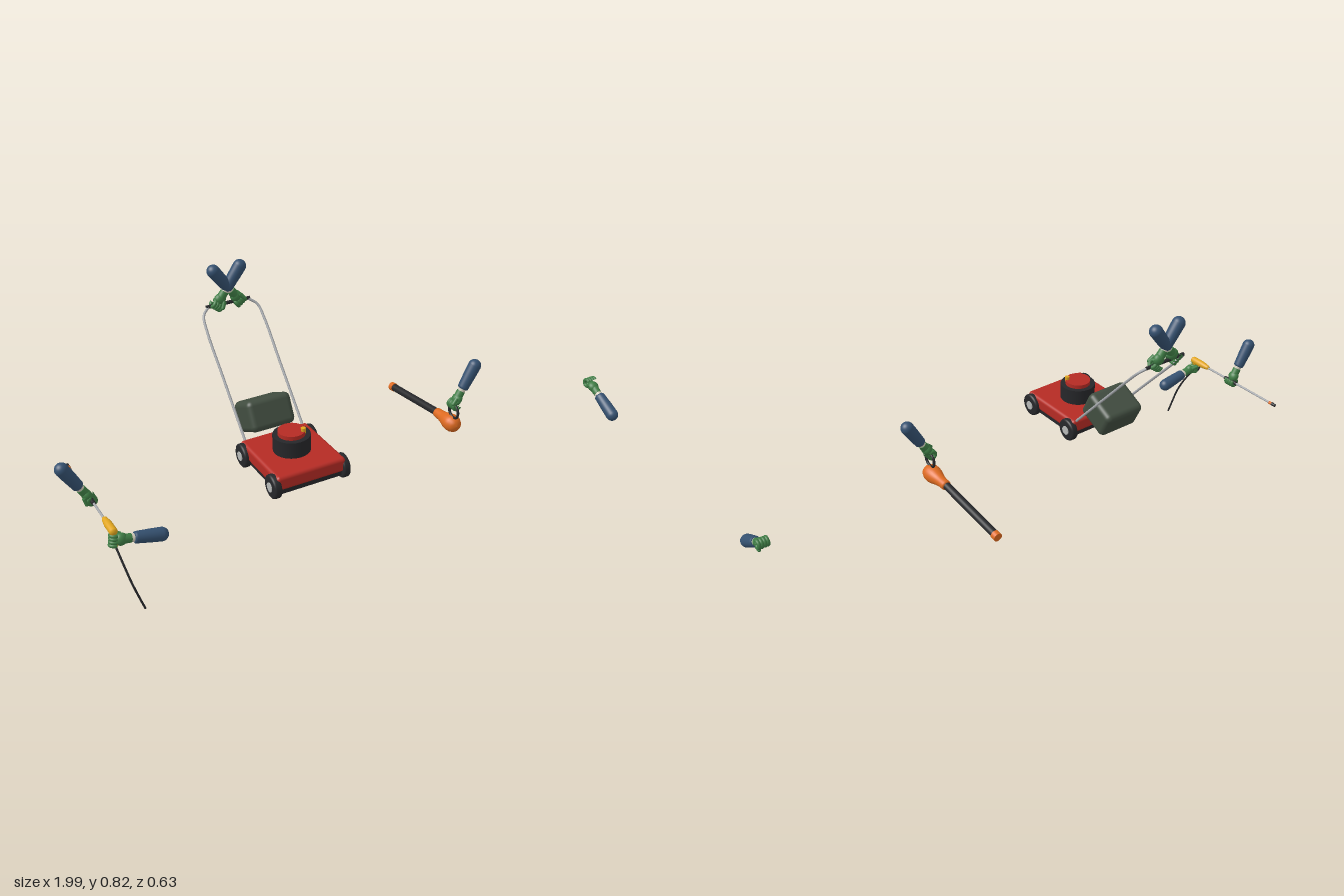
import * as THREE from 'three';
import { RoundedBoxGeometry } from 'three/addons/geometries/RoundedBoxGeometry.js';

const V = (x, y, z) => new THREE.Vector3(x, y, z);
const mat = (color) => new THREE.MeshStandardMaterial({ color });
const RED = mat(0xb52b24), BLACK = mat(0x26272a), STEEL = mat(0xa4a7ab), HUB = mat(0xb8bab8);
const BAG = mat(0x414d40), GLOVE = mat(0x3f7d45), SLEEVE = mat(0x34506f), CUFF = mat(0xcfc9b8);
const ORANGE = mat(0xdd6a20), YELLOW = mat(0xe0a51f);
const UP = V(0, 1, 0);

function add(parent, name, geometry, material, pos = V(0, 0, 0)) {
  const m = new THREE.Mesh(geometry, material);
  m.name = name;
  m.position.copy(pos);
  parent.add(m);
  return m;
}

// Round bar from a to b
function rod(parent, name, a, b, r1, material, r2 = r1) {
  const d = b.clone().sub(a);
  const m = add(parent, name, new THREE.CylinderGeometry(r2, r1, d.length(), 24), material,
    a.clone().add(b).multiplyScalar(0.5));
  m.quaternion.setFromUnitVectors(UP, d.normalize());
  return m;
}

// Revolved shape, profile of [radius, distance] running from a towards b
function turned(parent, name, profile, a, b, material) {
  const pts = profile.map(([r, y]) => new THREE.Vector2(r, y));
  const m = add(parent, name, new THREE.LatheGeometry(pts, 32), material, a);
  m.quaternion.setFromUnitVectors(UP, b.clone().sub(a).normalize());
  return m;
}

function tube(parent, name, pts, r, material) {
  return add(parent, name, new THREE.TubeGeometry(new THREE.CatmullRomCurve3(pts), 48, r, 12), material);
}

// Gloved fist closed round a bar, with the sleeve running towards a point
function arm(parent, name, grip, toward, barDir) {
  const g = new THREE.Group();
  g.name = name;
  const y = toward.clone().sub(grip).normalize();
  const z = barDir.clone().cross(y).normalize();
  g.quaternion.setFromRotationMatrix(new THREE.Matrix4().makeBasis(y.clone().cross(z), y, z));
  g.position.copy(grip);
  parent.add(g);
  for (let i = 0; i < 4; i++) {
    const finger = new THREE.TorusGeometry(0.0125, 0.0065, 12, 28, 5.2);
    finger.rotateY(Math.PI / 2);
    finger.rotateX(1.3);
    add(g, 'finger', finger, GLOVE, V((i - 1.5) * 0.0102, 0, 0));
  }
  const palm = add(g, 'palm', new THREE.SphereGeometry(1, 24, 16), GLOVE, V(0, 0.021, 0));
  palm.scale.set(0.0205, 0.021, 0.0165);
  rod(g, 'thumb', V(0.012, 0.024, 0.012), V(0.016, 0.002, 0.019), 0.0075, GLOVE, 0.006);
  add(g, 'thumbTip', new THREE.SphereGeometry(0.0062, 12, 10), GLOVE, V(0.016, 0.002, 0.019));
  rod(g, 'gloveWrist', V(0, 0.03, 0), V(0, 0.053, 0), 0.0155, GLOVE, 0.0145);
  rod(g, 'cuff', V(0, 0.05, 0), V(0, 0.066, 0), 0.0125, CUFF, 0.014);
  const profile = [[0, 0], [0.015, 0], [0.0182, 0.003], [0.019, 0.008], [0.0215, 0.055]];
  for (let i = 0; i <= 10; i++) {
    const a = i / 10 * Math.PI / 2;
    profile.push([0.0225 * Math.cos(a), 0.09 + 0.0225 * Math.sin(a)]);
  }
  turned(g, 'sleeve', profile, V(0, 0.062, 0), V(0, 1, 0), SLEEVE);
}

function lawnMower() {
  const g = new THREE.Group();
  g.name = 'lawnMower';
  g.position.x = -0.276;

  // Deck with dark underside
  add(g, 'deck', new RoundedBoxGeometry(0.246, 0.05, 0.268, 4, 0.012), RED, V(0, 0.312, 0.154));
  add(g, 'underside', new THREE.BoxGeometry(0.228, 0.02, 0.25), BLACK, V(0, 0.281, 0.154));

  // Engine, starter cap and fuel cap
  const engine = V(0, 0.335, 0.151);
  rod(g, 'engine', engine, V(0, 0.393, 0.151), 0.062, BLACK);
  rod(g, 'starterCap', V(0, 0.39, 0.151), V(0, 0.407, 0.151), 0.045, RED);
  rod(g, 'fuelCap', V(0.03, 0.4, 0.175), V(0.03, 0.418, 0.175), 0.008, YELLOW);

  // Wheels and hubs
  const tyre = [[0, 0], [0.034, 0], [0.039, 0.003], [0.0405, 0.007], [0.0405, 0.019],
    [0.039, 0.023], [0.034, 0.026], [0, 0.026]];
  for (const s of [-1, 1]) {
    for (const z of [0.259, 0.047]) {
      turned(g, 'wheel', tyre, V(s * 0.11, 0.295, z), V(s, 0.295, z), BLACK);
      rod(g, 'wheelHub', V(s * 0.13, 0.295, z), V(s * 0.139, 0.295, z), 0.016, HUB);
    }
    // Handle side bending inwards at the top
    tube(g, 'handleTube', [V(s * 0.106, 0.325, 0.033), V(s * 0.106, 0.5, -0.126),
      V(s * 0.106, 0.62, -0.235), V(s * 0.099, 0.66, -0.271), V(s * 0.072, 0.68, -0.29)], 0.0045, STEEL);
    arm(g, 'mowerArm', V(s * 0.042, 0.68, -0.29), V(-s * 0.046, 0.8, -0.29), V(1, 0, 0));
  }
  rod(g, 'handleGrip', V(-0.08, 0.68, -0.29), V(0.08, 0.68, -0.29), 0.006, BLACK);

  // Grass bag
  const bag = add(g, 'grassBag', new RoundedBoxGeometry(0.16, 0.106, 0.13, 5, 0.02), BAG, V(0, 0.378, -0.041));
  bag.rotation.x = -0.46;
  return g;
}

function leafBlower() {
  const g = new THREE.Group();
  g.name = 'leafBlower';
  g.position.x = 0.348;
  // Fan housing narrowing into the nozzle tube
  turned(g, 'fanHousing', [[0, 0], [0.014, 0.003], [0.024, 0.011], [0.03, 0.025], [0.031, 0.04],
    [0.028, 0.058], [0.022, 0.077], [0.0185, 0.095], [0.0175, 0.12], [0.015, 0.126], [0, 0.126]],
  V(0, 0.254, 0.194), V(0, 0.252, 0.067), ORANGE);
  rod(g, 'blowerTube', V(0, 0.253, 0.075), V(0, 0.221, -0.212), 0.0135, BLACK);
  rod(g, 'blowerTip', V(0, 0.2215, -0.207), V(0, 0.219, -0.226), 0.0155, ORANGE);
  // Ring handle
  add(g, 'ringHandle', new THREE.TorusGeometry(0.0255, 0.0048, 12, 40).rotateY(Math.PI / 2), BLACK,
    V(0, 0.305, 0.168));
  arm(g, 'blowerArm', V(0, 0.332, 0.168), V(0.079, 0.463, 0.168), V(0, 0, 1));
  return g;
}

function sprayLance() {
  const g = new THREE.Group();
  g.name = 'sprayLance';
  g.position.x = -0.9;
  // Gun body, handle and trigger
  turned(g, 'gunBody', [[0, 0], [0.009, 0.001], [0.013, 0.007], [0.013, 0.055], [0.009, 0.085],
    [0.006, 0.092], [0, 0.092]], V(0, 0.259, 0.196), V(0, 0.258, 0.1), YELLOW);
  rod(g, 'gunHandle', V(0, 0.256, 0.178), V(0, 0.205, 0.188), 0.011, YELLOW, 0.009);
  rod(g, 'trigger', V(0, 0.25, 0.15), V(0, 0.225, 0.16), 0.003, BLACK);
  // Lance and nozzle
  rod(g, 'lance', V(0, 0.258, 0.11), V(0, 0.258, -0.22), 0.004, STEEL);
  rod(g, 'lanceGrip', V(0, 0.258, 0.015), V(0, 0.258, -0.045), 0.007, BLACK);
  rod(g, 'nozzleCollar', V(0, 0.258, -0.217), V(0, 0.258, -0.231), 0.0055, ORANGE);
  rod(g, 'nozzle', V(0, 0.258, -0.229), V(0, 0.258, -0.246), 0.0065, BLACK, 0.005);
  // Hose down to the ground
  tube(g, 'hose', [V(0, 0.21, 0.187), V(0.008, 0.16, 0.22), V(0.02, 0.1, 0.247), V(0.037, 0.04, 0.258),
    V(0.049, 0.002, 0.263)], 0.0035, BLACK);
  arm(g, 'lanceArm', V(0, 0.258, -0.018), V(-0.082, 0.398, -0.018), V(0, 0, 1));
  arm(g, 'triggerArm', V(0, 0.228, 0.186), V(0.152, 0.196, 0.188), V(0, 1, -0.2));
  return g;
}

export function createModel() {
  const model = new THREE.Group();
  model.name = 'gardenTools';
  model.add(lawnMower(), leafBlower(), sprayLance());
  // Free arm
  arm(model, 'freeArm', V(0.972, 0.25, 0.167), V(0.972, 0.178, 0.293), V(1, 0, 0));
  return model;
}
